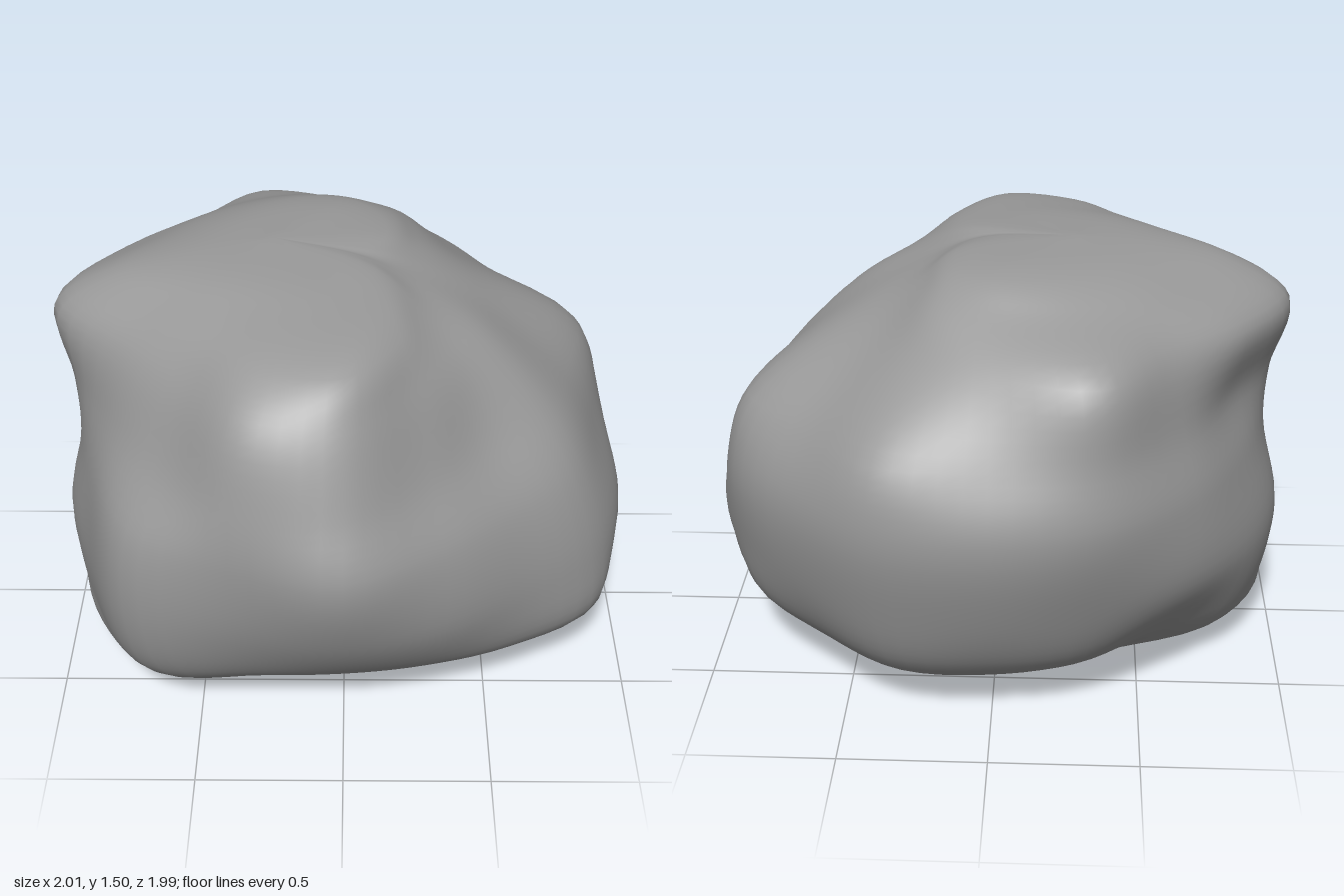
import * as THREE from 'three';

// Heights of the cross-sections, bottom to top
const HEIGHTS = [0.04, 0.12, 0.25, 0.5, 0.8, 1.02, 1.27, 1.4, 1.47];

// Radii of each cross-section every 22.5 degrees, from +x round through +z
const RADII = [
  [.30, .32, .37, .40, .45, .50, .62, .70, .75, .64, .52, .48, .45, .45, .45, .34],
  [.68, .72, .64, .58, .58, .65, .86, .93, .94, .82, .64, .64, .66, .70, .70, .70],
  [.88, .97, .83, .75, .74, .80, .98, .96, .97, .91, .79, .81, .82, .87, .85, .91],
  [1.0, .98, .88, .88, .91, .92, 1.04, .98, 1.0, .97, .95, .93, .94, .97, .95, .98],
  [.90, .89, .82, .87, .99, .96, 1.01, .94, .94, .91, .95, 1.0, 1.0, 1.02, .97, .99],
  [.78, .76, .67, .74, .91, .93, .87, .88, .95, .85, .88, .96, .92, .96, .86, .91],
  [.49, .52, .52, .60, .79, .84, .74, .80, 1.0, .89, .81, .90, .75, .66, .55, .52],
  [.25, .27, .34, .48, .67, .67, .61, .65, .82, .70, .65, .62, .55, .49, .36, .28],
  [.06, .08, .14, .20, .26, .34, .40, .48, .55, .50, .47, .45, .41, .31, .20, .10],
];

const BOTTOM = new THREE.Vector3(-0.2, 0, 0);
const TOP = new THREE.Vector3(-0.24, 1.5, -0.06);

function rockGeometry(around = 80, rows = 60) {
  // One smooth curve per direction, running from the base to the crown
  const sides = RADII[0].length;
  const meridians = [];
  for (let i = 0; i < sides; i++) {
    const a = (i / sides) * Math.PI * 2;
    const points = HEIGHTS.map((y, k) =>
      new THREE.Vector3(Math.cos(a) * RADII[k][i], y, Math.sin(a) * RADII[k][i]));
    meridians.push(new THREE.CatmullRomCurve3([BOTTOM, ...points, TOP]));
  }

  // Closed rings through the meridians, between two single pole vertices
  const positions = [...BOTTOM.toArray()];
  for (let r = 1; r < rows; r++) {
    const ring = new THREE.CatmullRomCurve3(
      meridians.map((m) => m.getPoint(r / rows)), true);
    for (let j = 0; j < around; j++) positions.push(...ring.getPoint(j / around).toArray());
  }
  positions.push(...TOP.toArray());

  const at = (r, j) => 1 + (r - 1) * around + (j % around);
  const last = positions.length / 3 - 1;
  const index = [];
  for (let j = 0; j < around; j++) {
    index.push(0, at(1, j), at(1, j + 1));
    for (let r = 1; r < rows - 1; r++) {
      const a = at(r, j), b = at(r, j + 1), c = at(r + 1, j + 1), d = at(r + 1, j);
      index.push(a, d, b, b, d, c);
    }
    index.push(at(rows - 1, j), last, at(rows - 1, j + 1));
  }

  const geometry = new THREE.BufferGeometry();
  geometry.setAttribute('position', new THREE.Float32BufferAttribute(positions, 3));
  geometry.setIndex(index);
  geometry.computeVertexNormals();
  return geometry;
}

export function createModel() {
  const group = new THREE.Group();
  group.name = 'boulder';
  const rock = new THREE.Mesh(rockGeometry(), new THREE.MeshStandardMaterial({ color: 0x999999 }));
  rock.name = 'rock';
  group.add(rock);
  return group;
}
